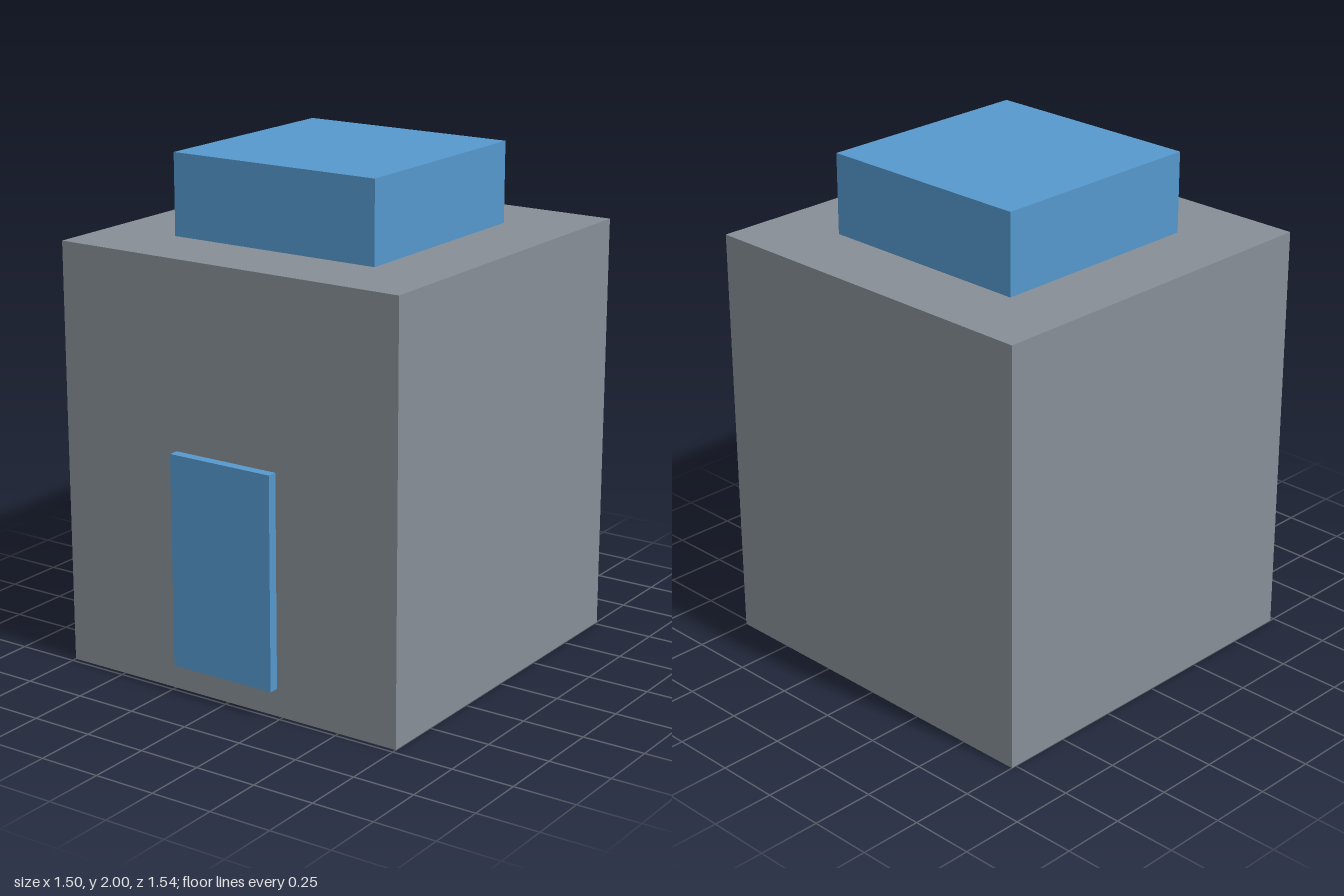
import * as THREE from 'three';

// Box given by its size, the height of its base and its centre in z
function block(name, [w, h, d], base, z, material) {
  const mesh = new THREE.Mesh(new THREE.BoxGeometry(w, h, d), material);
  mesh.name = name;
  mesh.position.set(0, base + h / 2, z);
  return mesh;
}

export function createModel() {
  const grey = new THREE.MeshStandardMaterial({ color: 0x868e96 });
  const blue = new THREE.MeshStandardMaterial({ color: 0x5598cc });

  const model = new THREE.Group();
  model.name = 'building';
  model.add(
    block('body', [1.5, 1.68, 1.5], 0, -0.02, grey),
    block('roofBlock', [0.9, 0.32, 0.9], 1.68, -0.02, blue),
    // Raised panel on the front wall
    block('door', [0.45, 0.84, 0.04], 0.11, 0.75, blue),
  );
  return model;
}
